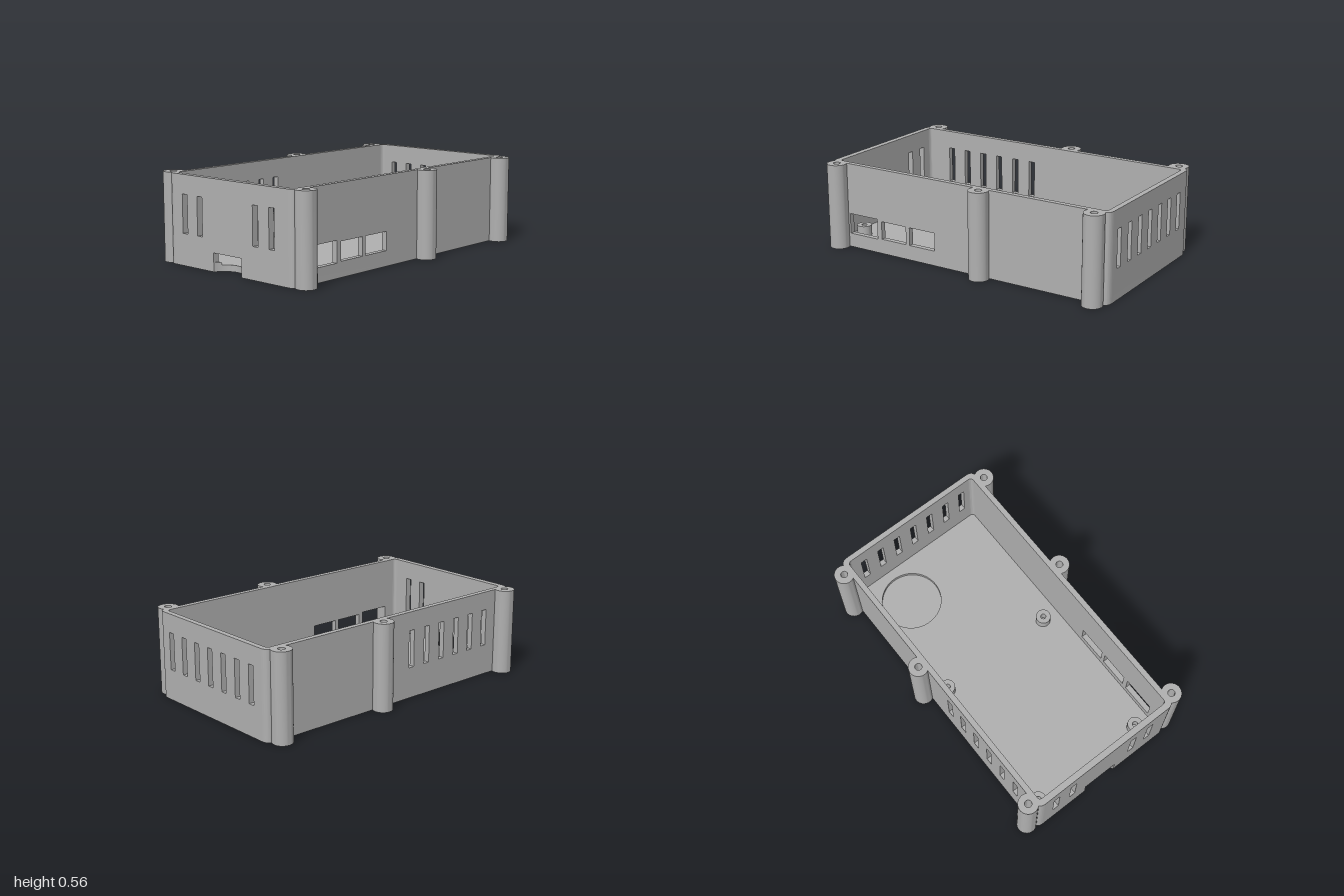
import * as THREE from 'three';
import { toCreasedNormals } from 'three/addons/utils/BufferGeometryUtils.js';

const X = 0.522, Z = 1, H = 0.555;          // outer half width, half length, height
const FLOOR = 0.04, WALL = 0.035, FRONT = 0.04;
const R = 0.05, C = 0.06;                   // corner radius, corner block size
const SLOT_W = 0.043, SLOT_Y0 = 0.197, SLOT_Y1 = 0.436;
const NOTCH = { x: -0.017, z: 1.04, r: 0.122, half: 0.118, lip: 0.056, top: 0.114 };

export function createModel() {
  const group = new THREE.Group();
  const grey = new THREE.MeshStandardMaterial({ color: 0xb0b0b0 });
  grey.name = 'grey plastic';

  const add = (name, geometry) => {
    const mesh = new THREE.Mesh(toCreasedNormals(geometry, 0.5), grey);
    mesh.name = name;
    group.add(mesh);
    return mesh;
  };
  const extrude = (shape, depth) =>
    new THREE.ExtrudeGeometry(shape, { depth, bevelEnabled: false, curveSegments: 32 });
  // horizontal slab: the shape is drawn in x and z
  const slab = (name, shape, y0, y1) =>
    add(name, extrude(shape, y1 - y0).rotateX(Math.PI / 2).translate(0, y1, 0));
  const rectPath = (P, x0, y0, x1, y1) => {
    const p = new P();
    p.moveTo(x0, y0); p.lineTo(x1, y0); p.lineTo(x1, y1); p.lineTo(x0, y1); p.closePath();
    return p;
  };
  const slot = (u) => rectPath(THREE.Path, u - SLOT_W / 2, SLOT_Y0, u + SLOT_W / 2, SLOT_Y1);
  const row = (start, count) => Array.from({ length: count }, (_, i) => slot(start + 0.13 * i));

  // cable cut-out arc along the front edge, running towards -x
  const notchArc = (s) => {
    const a = Math.asin((NOTCH.z - Z) / NOTCH.r);
    s.absarc(NOTCH.x, NOTCH.z, NOTCH.r, -a, -Math.PI + a, true);
  };

  // floor: a solid layer below, and a layer with the round recess above
  const floorShape = () => {
    const s = new THREE.Shape();
    s.moveTo(X - R, Z);
    notchArc(s);
    s.lineTo(-X + R, Z);
    s.quadraticCurveTo(-X, Z, -X, Z - R);
    s.lineTo(-X, -Z + R);
    s.quadraticCurveTo(-X, -Z, -X + R, -Z);
    s.lineTo(X - R, -Z);
    s.quadraticCurveTo(X, -Z, X, -Z + R);
    s.lineTo(X, Z - R);
    s.quadraticCurveTo(X, Z, X - R, Z);
    return s;
  };
  slab('floorBase', floorShape(), 0, 0.016);
  const upper = floorShape();
  upper.holes.push(new THREE.Path().absarc(-0.228, -0.706, 0.196, 0, Math.PI * 2));
  slab('floorTop', upper, 0.016, FLOOR);

  // front sill, cut by the same arc
  const sill = new THREE.Shape();
  const ends = X - C;
  sill.moveTo(ends, Z);
  notchArc(sill);
  sill.lineTo(-ends, Z);
  sill.lineTo(-ends, Z - FRONT);
  // the arc splits the sill in two, so close it along the arc's inner chord
  const halfIn = Math.sqrt(NOTCH.r ** 2 - (NOTCH.z - Z + FRONT) ** 2);
  const aOut = Math.asin((NOTCH.z - Z) / NOTCH.r);
  const aIn = Math.asin((NOTCH.z - Z + FRONT) / NOTCH.r);
  for (const side of [-1, 1]) {
    const s = new THREE.Shape();
    s.moveTo(side * ends, Z);
    for (let i = 0; i <= 8; i++) {
      const a = aOut + (aIn - aOut) * i / 8;
      s.lineTo(NOTCH.x + side * NOTCH.r * Math.cos(a), NOTCH.z - NOTCH.r * Math.sin(a));
    }
    s.lineTo(NOTCH.x + side * halfIn, Z - FRONT);
    s.lineTo(side * ends, Z - FRONT);
    s.closePath();
    slab('frontSill', s, FLOOR, NOTCH.lip);
  }

  // front wall with an opening at the bottom and four slots
  const front = new THREE.Shape();
  const { x: nx, half, lip, top } = NOTCH;
  front.setFromPoints([[-ends, lip], [nx - half, lip], [nx - half, top], [nx + half, top],
    [nx + half, lip], [ends, lip], [ends, H], [-ends, H]].map((p) => new THREE.Vector2(...p)));
  front.holes.push(...row(-0.38, 2), ...row(0.217, 2));
  add('frontWall', extrude(front, FRONT).translate(0, 0, Z - FRONT));

  // back wall with seven slots
  const back = rectPath(THREE.Shape, -ends, FLOOR, ends, H);
  back.holes.push(...row(-0.38, 7));
  add('backWall', extrude(back, WALL).translate(0, 0, -Z));

  // side walls: slots on one, three port openings on the other
  const sideWall = (name, holes, xMax) => {
    const s = rectPath(THREE.Shape, -Z + C, FLOOR, Z - C, H);
    s.holes.push(...holes);
    add(name, extrude(s, WALL).rotateY(-Math.PI / 2).translate(xMax, 0, 0));
  };
  sideWall('slottedSideWall', row(0.128, 6), -X + WALL);
  sideWall('portSideWall', [[0.65, 0.09, 0.868, 0.223], [0.426, 0.096, 0.616, 0.213],
    [0.207, 0.096, 0.398, 0.213]].map((p) => rectPath(THREE.Path, ...p)), X);

  // rounded wall corners
  for (const sx of [-1, 1]) for (const sz of [-1, 1]) {
    const t = sz > 0 ? FRONT : WALL;
    const s = new THREE.Shape();
    s.moveTo(sx * (X - C), sz * Z);
    s.lineTo(sx * (X - R), sz * Z);
    s.quadraticCurveTo(sx * X, sz * Z, sx * X, sz * (Z - R));
    s.lineTo(sx * X, sz * (Z - C));
    s.lineTo(sx * (X - WALL), sz * (Z - C));
    s.quadraticCurveTo(sx * (X - WALL), sz * (Z - t), sx * (X - C), sz * (Z - t));
    s.closePath();
    slab('wallCorner', s, FLOOR, H);
  }

  // round posts with a blind screw hole from the top
  const post = (name, x, z, r, hole, y0, y1, holeY) => {
    const profile = [[0, y0], [r, y0], [r, y1], [hole, y1], [hole, holeY], [0, holeY]]
      .map((p) => new THREE.Vector2(...p));
    add(name, new THREE.LatheGeometry(profile, 40)).position.set(x, 0, z);
  };
  for (const x of [-0.552, 0.552]) for (const z of [-0.916, -0.14, 0.936])
    post('screwPost', x, z, 0.063, 0.022, 0, H, 0.25);
  for (const x of [-0.414, 0.374]) for (const z of [-0.058, 0.877])
    post('boardStandoff', x, z, 0.048, 0.017, FLOOR - 0.01, 0.105, FLOOR + 0.001);

  return group;
}
